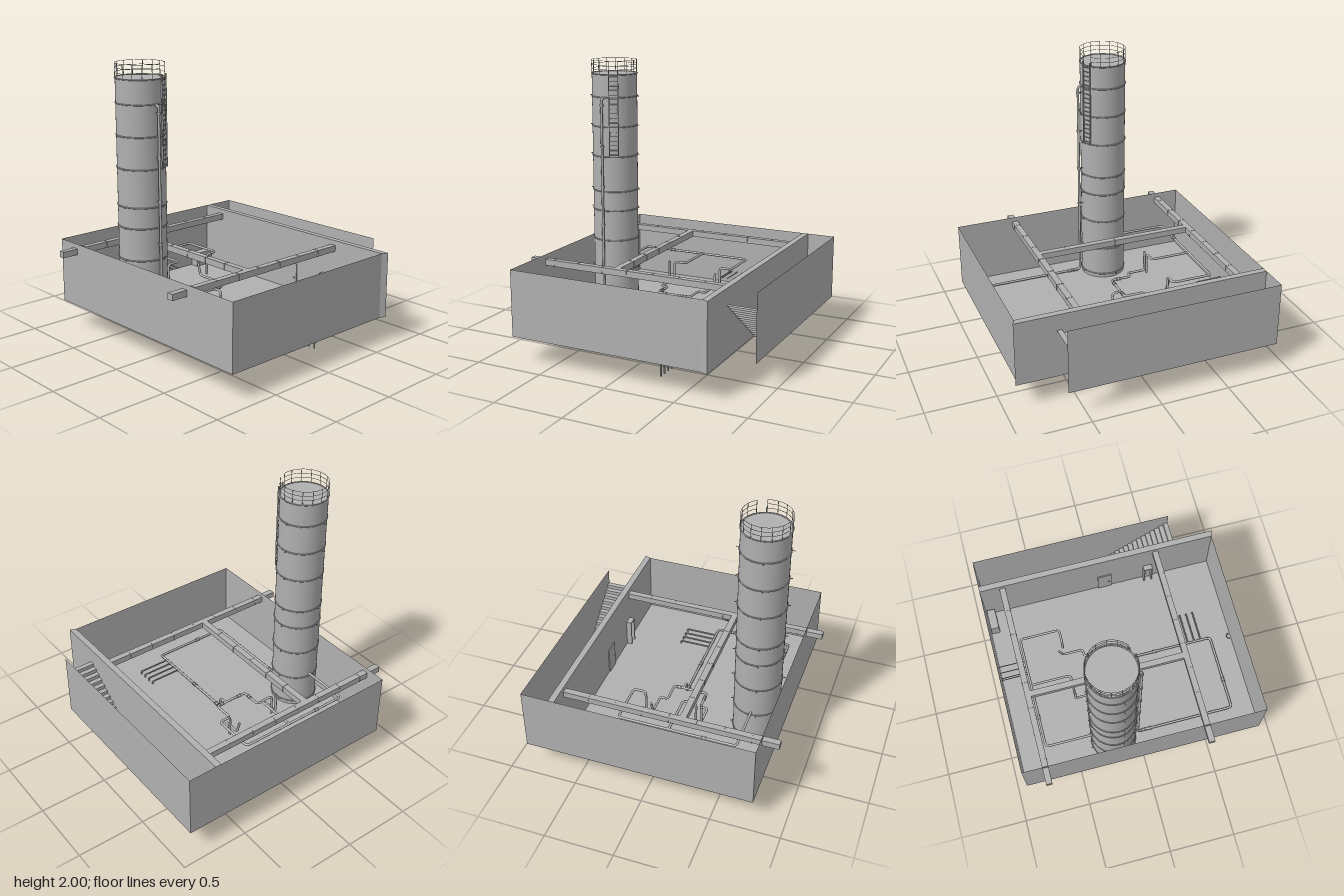
import * as THREE from 'three';

const grey = new THREE.MeshStandardMaterial({ color: 0xb0b0b0, side: THREE.DoubleSide });
grey.name = 'plain grey';
const V = (p) => new THREE.Vector3(...p);

function add(parent, name, geometry, pos = [0, 0, 0]) {
  const m = new THREE.Mesh(geometry, grey);
  m.name = name;
  m.position.set(...pos);
  parent.add(m);
  return m;
}

function group(parent, name) {
  const g = new THREE.Group();
  g.name = name;
  parent.add(g);
  return g;
}

// box given by its minimum and maximum corners
function box(parent, name, a, b) {
  const size = a.map((v, i) => b[i] - v);
  return add(parent, name, new THREE.BoxGeometry(...size), a.map((v, i) => (v + b[i]) / 2));
}

// flat four-cornered sheet
function sheet(parent, name, a, b, c, d) {
  const g = new THREE.BufferGeometry();
  g.setAttribute('position', new THREE.Float32BufferAttribute([a, b, c, a, c, d].flat(), 3));
  g.computeVertexNormals();
  return add(parent, name, g);
}

// round bar between two points
function bar(parent, name, a, b, r, sides = 12) {
  const d = b.clone().sub(a);
  const m = add(parent, name, new THREE.CylinderGeometry(r, r, d.length(), sides));
  m.position.copy(a).addScaledVector(d, 0.5);
  m.quaternion.setFromUnitVectors(new THREE.Vector3(0, 1, 0), d.normalize());
  return m;
}

// pipe of straight runs joined by rounded elbows
function pipe(parent, name, points, r = 0.009, bend = 0.028) {
  const g = group(parent, name), p = points.map(V);
  let start = p[0];
  for (let i = 1; i < p.length; i++) {
    if (i === p.length - 1) { bar(g, 'run', start, p[i], r); break; }
    const before = p[i].clone().add(p[i - 1].clone().sub(p[i]).setLength(bend));
    const after = p[i].clone().add(p[i + 1].clone().sub(p[i]).setLength(bend));
    bar(g, 'run', start, before, r);
    add(g, 'elbow', new THREE.TubeGeometry(new THREE.QuadraticBezierCurve3(before, p[i], after), 6, r, 12));
    start = after;
  }
}

// pair of flanges with a valve body between them
function valve(parent, x, y, z, axis) {
  const g = group(parent, 'valve');
  for (const s of [-0.014, 0.014]) {
    const a = V([x, y, z]), b = V([x, y, z]);
    a[axis] += s - 0.002;
    b[axis] += s + 0.002;
    bar(g, 'flange', a, b, 0.014);
  }
  add(g, 'body', new THREE.SphereGeometry(0.012, 12, 8), [x, y, z]);
}

const F = 0.19, T = 0.665;                    // floor and wall-top heights
const L = -0.78, W = 0.645, W2 = 0.69, R = 0.895, B = -0.925;

function buildRoom(root) {
  const g = group(root, 'building');
  const wall = (name, x1, z1, x2, z2) =>
    sheet(g, name, [x1, F, z1], [x2, F, z2], [x2, T, z2], [x1, T, z1]);
  sheet(g, 'floor', [L, F, B], [L, F, 0.9], [W, F, 0.9], [W, F, B]);
  wall('frontWall', L, 0.9, W, 0.9);
  wall('backWall', R, B, L, B);
  wall('rightWall', L, B, L, 0.9);
  wall('innerWallRoomSide', W, 0.9, W, B);
  wall('innerWallCorridorSide', W2, 0.92, W2, B);
  wall('innerWallEnd', W, 0.9, W2, 0.92);
  wall('outerWall', R, 0.625, R, B);
  sheet(g, 'innerWallTop', [W, T, 0.9], [W2, T, 0.92], [W2, T, B], [W, T, B]);
  sheet(g, 'corridorFloor', [W2, F, B], [W2, F, 0.155], [R, F, 0.155], [R, F, B]);

  // folded-sheet stairs rising to the front
  const n = 13, rise = 0.357 / n, run = 0.47 / n;
  for (let i = 0; i < n; i++) {
    const y = F + i * rise, z = 0.155 + i * run, y2 = y + rise, z2 = z + run;
    sheet(g, 'riser', [R, y, z], [W2, y, z], [W2, y2, z], [R, y2, z]);
    sheet(g, 'tread', [W2, y2, z], [W2, y2, z2], [R, y2, z2], [R, y2, z]);
  }

  // door, portal frame and cabinet
  box(g, 'door', [0.637, F, -0.01], [W, 0.4, 0.1]);
  add(g, 'doorHandle', new THREE.SphereGeometry(0.006, 10, 8), [0.633, 0.29, 0.08]);
  box(g, 'portalPost', [0.605, F, 0.36], [W, 0.4, 0.37]);
  box(g, 'portalPost', [0.605, F, 0.42], [W, 0.4, 0.43]);
  box(g, 'portalLintel', [0.605, 0.39, 0.36], [W, 0.4, 0.43]);
  box(g, 'portalDoor', [0.638, F, 0.37], [W, 0.39, 0.42]);
  box(g, 'cabinet', [0.47, F, -0.918], [0.63, 0.3, -0.855]);
  add(g, 'wallHoop', new THREE.TorusGeometry(0.02, 0.005, 8, 12, Math.PI), [-0.03, 0.22, 0.885])
    .rotation.x = -Math.PI / 2;
}

function buildDucts(root) {
  const g = group(root, 'ducts'), lo = 0.585, hi = 0.63, e = 0.002;
  for (const z of [-0.775, 0.43]) {
    box(g, 'longDuct', [-0.9, lo, z], [W, hi, z + 0.045]);
    for (const x of [-0.71, -0.515, -0.32, -0.125, 0.07, 0.265, 0.46])
      box(g, 'ductJoint', [x - e, lo - e, z - e], [x + e, hi + e, z + 0.045 + e]);
  }
  box(g, 'crossDuct', [-0.24, lo, -0.73], [-0.195, hi, 0.43]);
  for (const z of [-0.53, -0.34, -0.15, 0.045, 0.24])
    box(g, 'ductJoint', [-0.24 - e, lo - e, z - e], [-0.195 + e, hi + e, z + e]);
}

function buildTank(root) {
  const g = group(root, 'tank'), r = 0.166, top = 1.9, gate = 0.47;
  g.position.set(-0.59, 0, -0.205);
  add(g, 'shell', new THREE.CylinderGeometry(r, r, top - F, 48), [0, (top + F) / 2, 0]);
  const polar = (a, rad, y) => V([Math.sin(a) * rad, y, Math.cos(a) * rad]);

  // stiffening rings with clamp lugs
  for (const y of [0.22, 0.44, 0.67, 0.895, 1.04, 1.3, 1.52, 1.735, 1.9]) {
    add(g, 'ring', new THREE.TorusGeometry(r + 0.001, 0.005, 6, 48), [0, y, 0]).rotation.x = Math.PI / 2;
    if (y < 1.9) for (let i = 0; i < 4; i++) {
      const a = 0.21 + i * Math.PI / 2;
      bar(g, 'lug', polar(a, r, y), polar(a, r + 0.022, y), 0.003, 6);
    }
  }

  // guard rail, open above the ladder
  const half = 0.21, arc = Math.PI * 2 - half * 2;
  for (const y of [1.935, 1.967, 1.998]) {
    const rail = add(g, 'guardRail', new THREE.TorusGeometry(r, 0.0016, 5, 48, arc), [0, y, 0]);
    rail.rotation.set(Math.PI / 2, 0, Math.PI / 2 - gate + half);
  }
  for (let i = 0; i <= 14; i++) {
    const a = gate + half + arc * i / 14;
    bar(g, 'guardPost', polar(a, r, top), polar(a, r, 1.998), 0.002, 6);
  }

  // ladder
  const ladder = group(g, 'ladder');
  ladder.rotation.y = gate;
  for (const x of [-0.033, 0.033])
    box(ladder, 'ladderRail', [x - 0.003, 1.3, r + 0.003], [x + 0.003, 1.93, r + 0.012]);
  for (let i = 0; i < 18; i++) {
    const y = 1.32 + i * 0.0335;
    bar(ladder, 'rung', V([-0.033, y, r + 0.008]), V([0.033, y, r + 0.008]), 0.0028, 6);
  }
}

function buildPipes(root) {
  const g = group(root, 'pipework'), y = 0.215, m = 0.3, h = 0.46;
  // downpipe from the tank, round the floor and back to the pumps
  pipe(g, 'mainPipe', [[-0.59, 1.73, -0.05], [-0.59, 1.73, -0.012], [-0.59, y, -0.012],
    [-0.59, y, 0.735], [-0.005, y, 0.735], [-0.005, y, -0.05], [-0.005, m, -0.05], [-0.005, m, -0.115]]);
  for (const by of [0.79, 1.08, 1.38, 1.68]) {
    bar(g, 'pipeClamp', V([-0.59, by - 0.006, -0.012]), V([-0.59, by + 0.006, -0.012]), 0.014);
    bar(g, 'clampArm', V([-0.59, by, -0.045]), V([-0.59, by, -0.012]), 0.004, 8);
  }
  // pump loop
  pipe(g, 'pumpLoop', [[-0.24, h, -0.41], [-0.24, m, -0.41], [-0.24, m, -0.27], [-0.185, m, -0.27],
    [-0.185, m, -0.115], [0.07, m, -0.115], [0.07, m, -0.265], [0.125, m, -0.265],
    [0.125, m, -0.42], [0.125, 0.4, -0.45]], 0.009, 0.022);
  // overhead return to the tank and its two branches
  pipe(g, 'returnPipe', [[-0.59, h, -0.36], [-0.59, h, -0.715], [0.27, h, -0.715],
    [0.27, h, -0.41], [0.18, h, -0.41], [0.18, m, -0.41]]);
  pipe(g, 'returnBranch', [[-0.105, h, -0.715], [-0.105, h, -0.41], [-0.2, h, -0.41], [-0.2, m, -0.41]]);
  // outlets passing down through the floor
  for (const z of [0.503, 0.555, 0.607, 0.659])
    pipe(g, 'outlet', [[-0.005, y, z], [0.236, y, z], [0.236, 0, z]], 0.0055, 0.014);
  // wall stubs
  for (const x of [0.045, 0.06, 0.105, 0.155])
    bar(g, 'wallStub', V([x, 0.28, B]), V([x, 0.28, -0.72]), 0.004);
  // valves
  for (const [x, vy, z, axis] of [[-0.59, y, 0.03, 'z'], [-0.59, y, 0.075, 'z'], [-0.36, y, 0.735, 'x'],
    [-0.36, h, -0.715, 'x'], [-0.005, y, -0.01, 'z'], [-0.005, y, 0.28, 'z'],
    [-0.13, m, -0.115, 'x'], [0.03, m, -0.115, 'x'], [-0.185, m, -0.17, 'z']]) valve(g, x, vy, z, axis);
}

export function createModel() {
  const root = new THREE.Group();
  root.name = 'pumpHouse';
  buildRoom(root);
  buildDucts(root);
  buildTank(root);
  buildPipes(root);
  return root;
}
